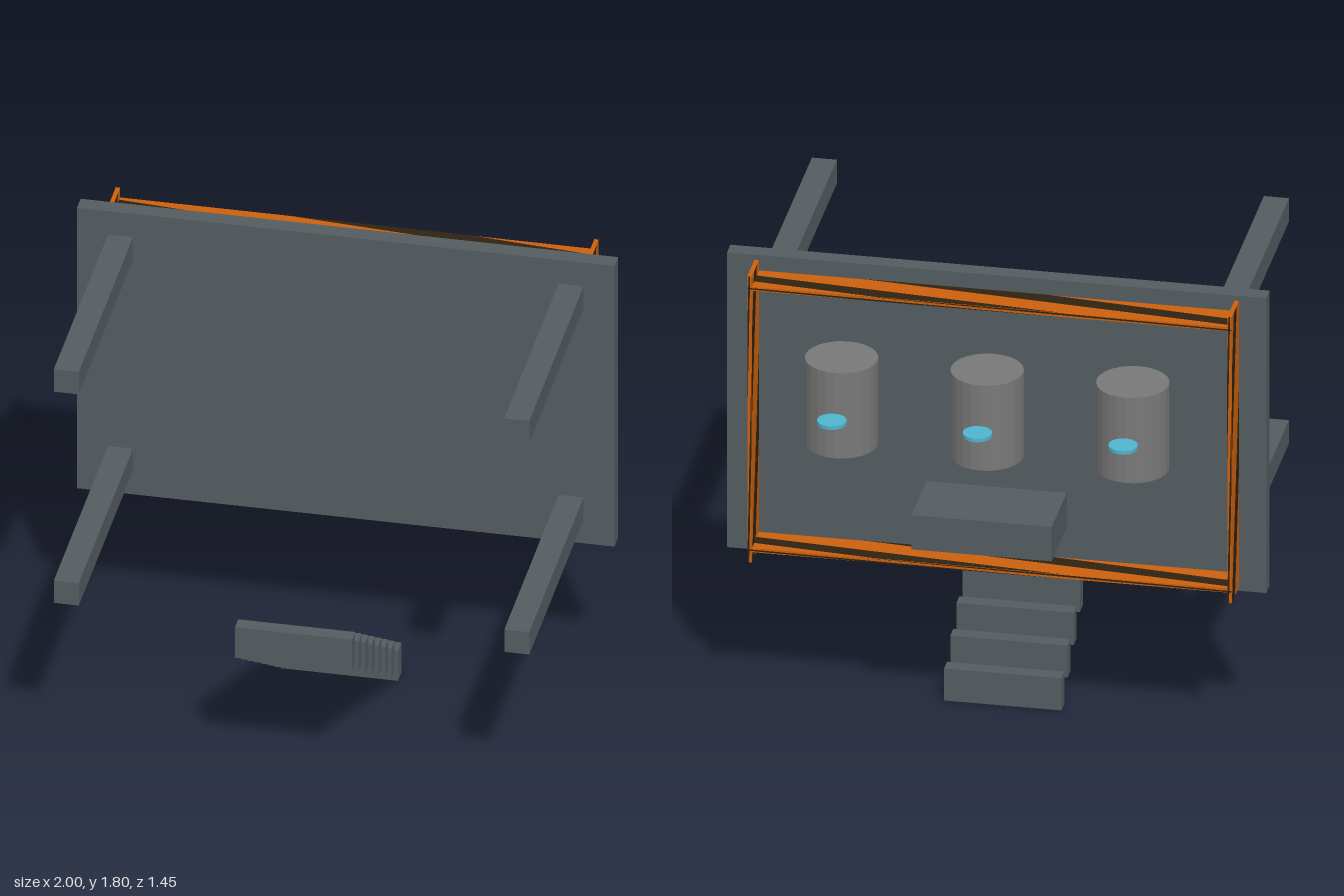
import * as THREE from 'three';

const mat = (name, color, extra = {}) => {
  const m = new THREE.MeshStandardMaterial({ color, ...extra });
  m.name = name;
  return m;
};

// Diagonal stripe outlines in unit face coordinates (u right, v up)
const LONG_STRIPES = [
  [[0, 0.88], [0, 0.52], [0.4, 0], [0.78, 0]],
  [[0.35, 1], [1, 0.32], [1, 0.68], [0.73, 1]],
];
const TALL_STRIPES = [
  [[0.27, 1], [0, 0.8], [0, 0.5], [0.67, 1]],
  [[0, 0], [0.43, 0], [1, 0.42], [1, 0.72]],
];

export function createModel() {
  const root = new THREE.Group();
  root.name = 'stagePlatform';
  const slate = mat('slate', 0x545c60);
  const orange = mat('orange', 0xcc5f0c);
  const black = mat('stripeBlack', 0x2e2312);
  const grey = mat('grey', 0x787878, { flatShading: true });
  const cyan = mat('cyan', 0x4fb3cd);

  const add = (name, geo, material, x, y, z, parent = root) => {
    const mesh = new THREE.Mesh(geo, material);
    mesh.name = name;
    mesh.position.set(x, y, z);
    parent.add(mesh);
    return mesh;
  };
  // Box given by its minimum and maximum corners
  const box = (name, material, [x0, y0, z0], [x1, y1, z1]) =>
    add(name, new THREE.BoxGeometry(x1 - x0, y1 - y0, z1 - z0), material,
      (x0 + x1) / 2, (y0 + y1) / 2, (z0 + z1) / 2);

  // Deck panel and its four legs
  box('deck', slate, [-1, 0.605, -0.305], [1, 1.8, -0.24]);
  for (const s of [-1, 1]) {
    for (const y of [0.705, 1.605]) {
      add('leg', new THREE.BoxGeometry(0.093, 0.095, 0.965), slate, s * 0.838, y + 0.0475, 0.2425);
    }
  }

  // Flight of loose steps
  for (let i = 0; i < 8; i++) {
    add('step', new THREE.BoxGeometry(0.435, 0.13, 0.057), slate,
      0, 0.065 + i * 0.0763, -0.16 + i * 0.1175);
  }

  // Flat stripe faces covering a w by h rectangle facing +z
  const stripeGeometry = (outlines, w, h) => new THREE.ShapeGeometry(outlines.map((pts) =>
    new THREE.Shape(pts.map(([u, v]) => new THREE.Vector2((u - 0.5) * w, (v - 0.5) * h)))));

  // Hazard rails: a beam with stripes on its four long faces
  const T = 0.016, D = 0.138, GAP = 0.0012;
  const rail = (name, length, vertical, x, y) => {
    const group = new THREE.Group();
    group.name = name;
    group.position.set(x, y, -0.305 - D / 2);
    root.add(group);
    const size = vertical ? [T, length, D] : [length, T, D];
    add('beam', new THREE.BoxGeometry(...size), orange, 0, 0, 0, group);
    const outlines = vertical ? TALL_STRIPES : LONG_STRIPES;
    for (let k = 0; k < 4; k++) {
      const across = k % 2 ? D : T;
      const out = (k % 2 ? T : D) / 2 + GAP;
      const geo = vertical
        ? stripeGeometry(outlines, across, length)
        : stripeGeometry(outlines, length, across);
      geo.translate(0, 0, out);
      if (vertical) geo.rotateY(k * Math.PI / 2);
      else geo.rotateX(-k * Math.PI / 2);
      add('stripes', geo, black, 0, 0, 0, group);
    }
  };
  for (const s of [-1, 1]) {
    rail('sideRail', 1.16, true, s * 0.89, 1.2);
    rail('crossRail', 1.796, false, 0, 1.2 + s * 0.53);
  }

  // Barrels with a round disc behind each
  for (const x of [-0.54, 0, 0.54]) {
    add('barrel', new THREE.CylinderGeometry(0.134, 0.134, 0.345, 24), grey, x, 1.3325, -0.487);
    add('disc', new THREE.CylinderGeometry(0.054, 0.054, 0.014, 24), cyan, x, 1.333, -0.673);
  }

  // Console with a lit slot underneath
  box('console', slate, [-0.26, 0.803, -0.593], [0.26, 0.942, -0.305]);
  box('slotFrame', grey, [-0.155, 0.79, -0.524], [0.155, 0.803, -0.502]);
  box('slotLight', cyan, [-0.155, 0.786, -0.52], [0.155, 0.79, -0.506]);

  return root;
}
